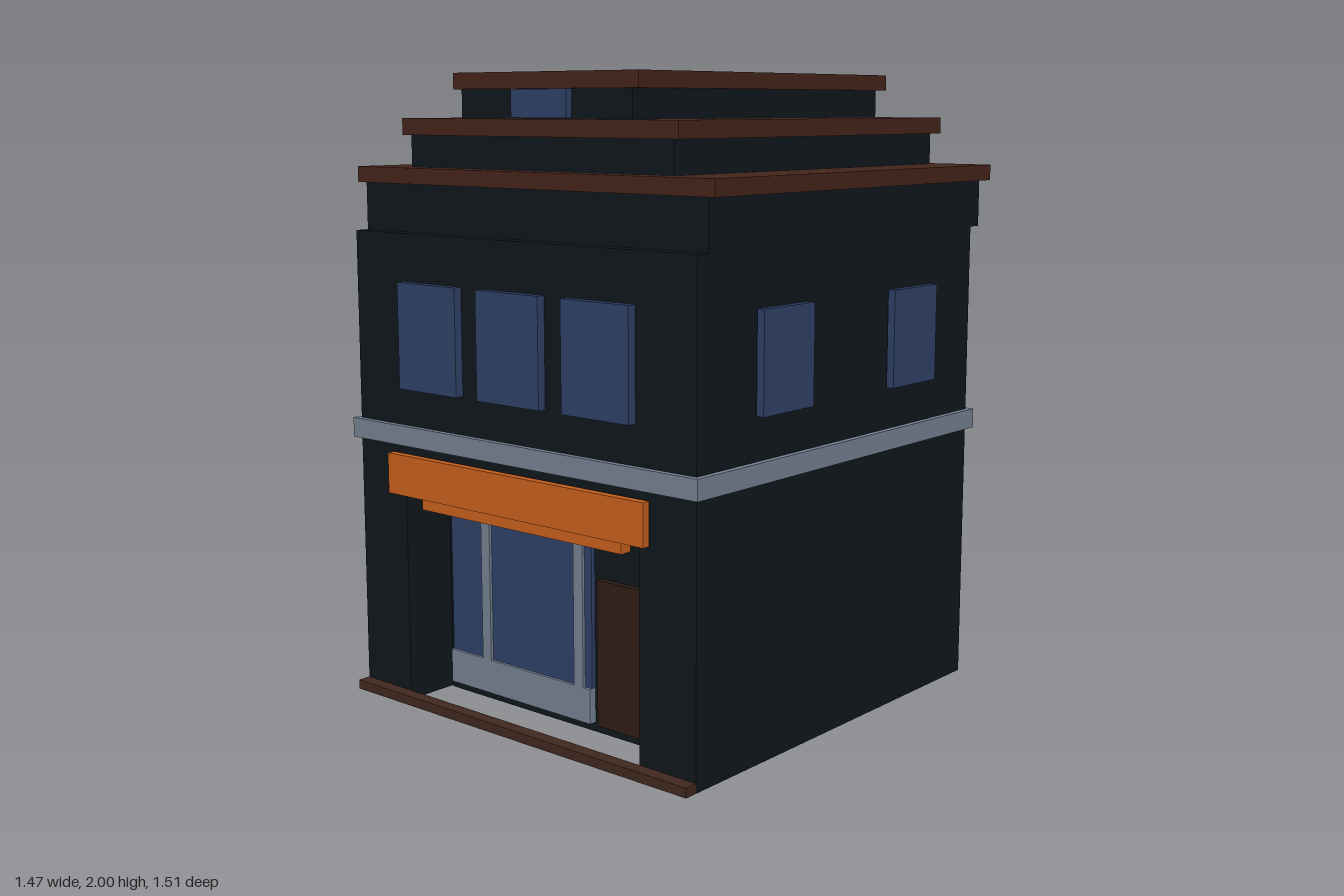
import * as THREE from 'three';

const mat = (color) => new THREE.MeshStandardMaterial({ color });

export function createModel() {
  const model = new THREE.Group();
  const wall = mat(0x10161d), roof = mat(0x44241a), glass = mat(0x2f4168);
  const trim = mat(0x758292), orange = mat(0xc8601c), wood = mat(0x2f1d15), stone = mat(0x3f281f);

  // Box given by its extents along each axis
  const box = (name, material, [x0, x1], [y0, y1], [z0, z1]) => {
    const mesh = new THREE.Mesh(new THREE.BoxGeometry(x1 - x0, y1 - y0, z1 - z0), material);
    mesh.position.set((x0 + x1) / 2, (y0 + y1) / 2, (z0 + z1) / 2);
    mesh.name = name;
    model.add(mesh);
    return mesh;
  };
  const wide = (half) => [-half, half];

  // Main walls: a block with a passage cut through the ground floor
  const outline = new THREE.Shape([
    [-0.703, 0], [-0.493, 0], [-0.493, 0.69], [0.493, 0.69],
    [0.493, 0], [0.703, 0], [0.703, 1.51], [-0.703, 1.51],
  ].map(([x, y]) => new THREE.Vector2(x, y)));
  const walls = new THREE.Mesh(
    new THREE.ExtrudeGeometry(outline, { depth: 1.404, bevelEnabled: false }), wall);
  walls.position.z = -0.69;
  walls.name = 'mainWalls';
  model.add(walls);

  // Shop interior block set back in the passage, and front step
  box('shopInterior', wall, wide(0.484), [0, 0.686], [-0.69, 0.54]);
  box('frontStep', stone, wide(0.703), [0, 0.03], [0.714, 0.757]);

  // Shop window with base and mullions
  box('shopWindow', glass, [-0.46, 0.16], [0.14, 0.655], [0.53, 0.555]);
  box('shopWindowBase', trim, [-0.46, 0.16], [0.03, 0.14], [0.53, 0.565]);
  for (const x of [-0.293, 0.112]) {
    box('shopMullion', trim, [x - 0.019, x + 0.019], [0.14, 0.655], [0.53, 0.565]);
  }
  box('shopDoor', wood, [0.187, 0.466], [0.03, 0.49], [0.53, 0.56]);

  // Sign board and awning strip below it
  box('signBoard', orange, wide(0.538), [0.685, 0.815], [0.722, 0.748]);
  box('awningStrip', orange, wide(0.422), [0.64, 0.69], [0.67, 0.71]);

  // Band between the floors
  box('floorBand', trim, wide(0.722), [0.842, 0.905], [-0.709, 0.733]);

  // Upper floor windows, front and sides
  for (const x of [-0.351, 0, 0.351]) {
    box('frontWindow', glass, [x - 0.13, x + 0.13], [1.025, 1.36], [0.71, 0.742]);
  }
  for (const z of [0.339, -0.32]) {
    box('leftWindow', glass, [0.71, 0.735], [1.038, 1.343], [z - 0.12, z + 0.12]);
    box('rightWindow', glass, [-0.735, -0.71], [1.038, 1.343], [z - 0.12, z + 0.12]);
  }

  // Stepped roof: wall tier and projecting cornice for each level
  const tiers = [
    { x: 0.703, y: [1.51, 1.66], z: [-0.738, 0.667], capX: 0.732, top: 1.71, capZ: [-0.757, 0.677] },
    { x: 0.54, y: [1.71, 1.81], z: [-0.692, 0.617], capX: 0.567, top: 1.862, capZ: [-0.711, 0.63] },
    { x: 0.351, y: [1.862, 1.95], z: [-0.648, 0.575], capX: 0.38, top: 2, capZ: [-0.665, 0.583] },
  ];
  for (const t of tiers) {
    box('roofTier', wall, wide(t.x), t.y, t.z);
    box('roofCornice', roof, wide(t.capX), [t.y[1], t.top], t.capZ);
  }
  box('atticWindow', glass, wide(0.114), [1.865, 1.949], [0.57, 0.598]);

  return model;
}
